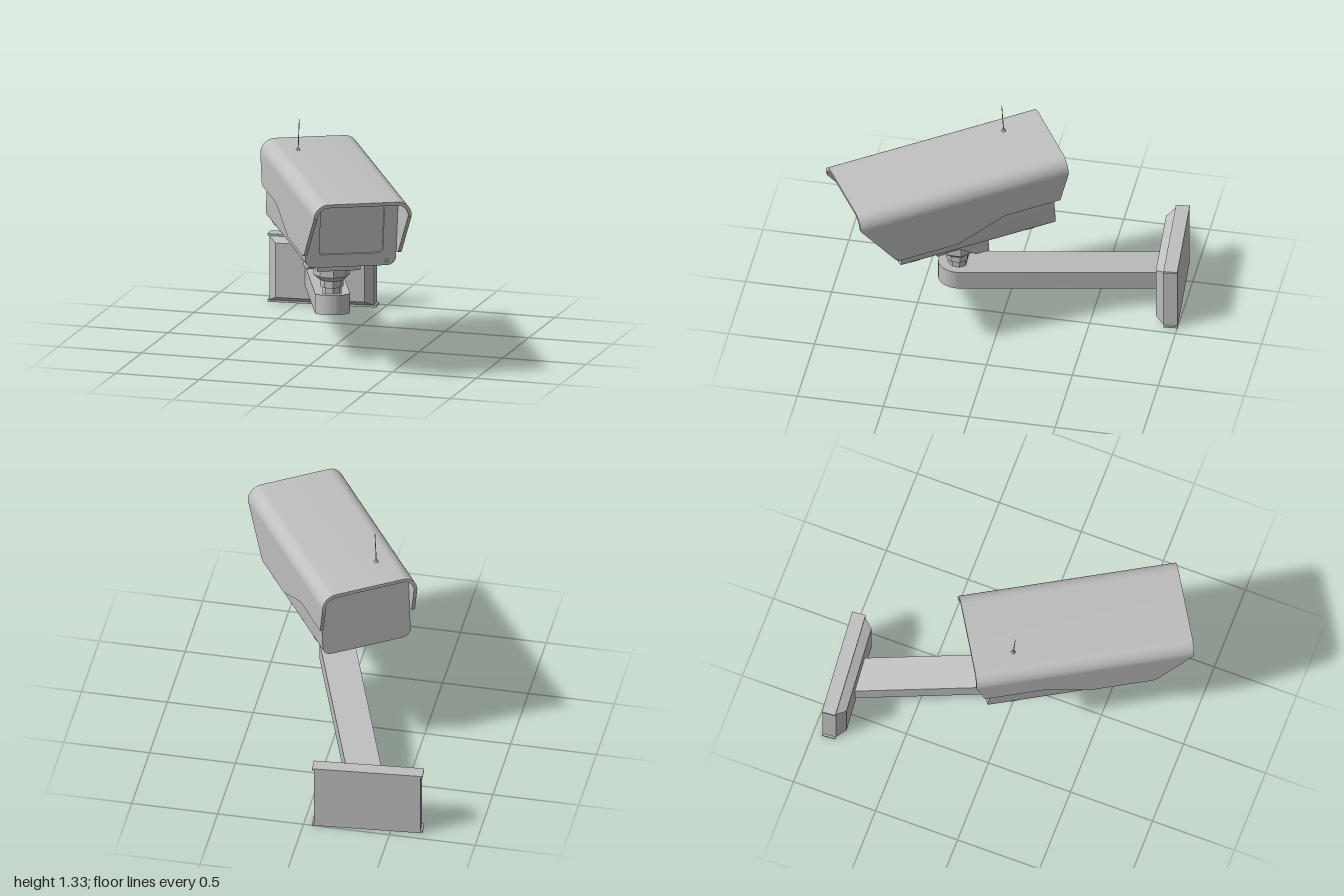
import * as THREE from 'three';
import { toCreasedNormals } from 'three/addons/utils/BufferGeometryUtils.js';

const grey = new THREE.MeshStandardMaterial({ color: 0xbfbfbf });
grey.name = 'light grey';

function add(parent, name, geometry, x = 0, y = 0, z = 0) {
  const mesh = new THREE.Mesh(geometry, grey);
  mesh.name = name;
  mesh.position.set(x, y, z);
  parent.add(mesh);
  return mesh;
}

const extrude = (shape, depth) => toCreasedNormals(
  new THREE.ExtrudeGeometry(shape, { depth, bevelEnabled: false, curveSegments: 10 }), 0.5);

// Extrudes a [z, y] side profile across x, centred on x = 0
function sideExtrude(points, width) {
  const shape = new THREE.Shape(points.map(p => new THREE.Vector2(...p)));
  return extrude(shape, width).rotateY(-Math.PI / 2).translate(width / 2, 0, 0);
}

// Rectangle with separate top and bottom corner radii
function roundedRect(path, w, y0, y1, rb, rt) {
  const P = Math.PI;
  path.moveTo(-w + rb, y0);
  path.absarc(w - rb, y0 + rb, rb, -P / 2, 0, false);
  path.absarc(w - rt, y1 - rt, rt, 0, P / 2, false);
  path.absarc(-w + rt, y1 - rt, rt, P / 2, P, false);
  path.absarc(-w + rb, y0 + rb, rb, P, 1.5 * P, false);
  return path;
}

function buildWallPlate() {
  const plate = new THREE.Group();
  plate.name = 'wallPlate';
  plate.position.set(-0.363, 0.2, -0.934);
  plate.rotation.y = 0.084;
  add(plate, 'plateBox', new THREE.BoxGeometry(0.612, 0.38, 0.08));
  for (const s of [-1, 1]) add(plate, 'plateFlange', new THREE.BoxGeometry(0.634, 0.012, 0.08), 0, s * 0.194, 0);
  // Bevelled front, tapered towards +z
  const bevel = new THREE.BoxGeometry(0.612, 0.376, 0.05);
  const p = bevel.attributes.position;
  for (let i = 0; i < p.count; i++) {
    if (p.getZ(i) > 0) p.setXY(i, Math.sign(p.getX(i)) * 0.26, Math.sign(p.getY(i)) * 0.16);
  }
  bevel.computeVertexNormals();
  add(plate, 'plateBevel', bevel, 0, 0, 0.065);
  return plate;
}

function buildArm() {
  // Round-ended bar, sheared so it climbs towards the camera
  const s = new THREE.Shape();
  s.moveTo(-0.1, 1.22);
  s.lineTo(-0.1, 0);
  s.absarc(0, 0, 0.1, Math.PI, 2 * Math.PI, false);
  s.lineTo(0.1, 1.22);
  const g = new THREE.ExtrudeGeometry(s, { depth: 0.115, bevelEnabled: false, curveSegments: 20 });
  g.rotateX(-Math.PI / 2);
  const p = g.attributes.position;
  for (let i = 0; i < p.count; i++) p.setY(i, p.getY(i) + 0.26 + 0.117 * p.getZ(i));
  const arm = new THREE.Group();
  arm.name = 'armAssembly';
  arm.position.set(0.066, 0, 0.265);
  arm.rotation.y = 0.349;
  add(arm, 'arm', toCreasedNormals(g, 0.5));
  return arm;
}

function buildSwivel() {
  // Stack of eight-sided collars: [top radius, bottom radius, bottom y, top y]
  const swivel = new THREE.Group();
  swivel.name = 'swivel';
  swivel.position.set(0.06, 0, 0.255);
  const collars = [[0.104, 0.104, 0.485, 0.58], [0.104, 0.075, 0.458, 0.485],
    [0.067, 0.067, 0.415, 0.458], [0.055, 0.055, 0.36, 0.415]];
  for (const [rt, rb, y0, y1] of collars) {
    const g = new THREE.CylinderGeometry(rt, rb, y1 - y0, 8).rotateY(Math.PI / 8).toNonIndexed();
    g.computeVertexNormals();
    add(swivel, 'collar', g, 0, (y0 + y1) / 2, 0);
  }
  return swivel;
}

function buildHead() {
  // Local origin is the middle of the hood top
  const head = new THREE.Group();
  head.name = 'cameraHead';
  head.position.set(0.105, 1.113, 0.31);
  head.rotation.set(0.07, 0.548, -0.02, 'YXZ');

  // Hood: arched roof plus two stepped side panels
  const W = 0.2875, T = 0.02, R = 0.085, P = Math.PI;
  const arch = new THREE.Shape();
  arch.moveTo(W, -R);
  arch.absarc(W - R, -R, R, 0, P / 2, false);
  arch.absarc(-W + R, -R, R, P / 2, P, false);
  arch.lineTo(-W + T, -R);
  arch.absarc(-W + R, -R, R - T, P, P / 2, true);
  arch.absarc(W - R, -R, R - T, P / 2, 0, true);
  add(head, 'hoodRoof', extrude(arch, 1.266), 0, 0, -0.633);
  const side = [[-0.633, -R], [-0.57, -0.26], [-0.235, -0.26], [0.06, -0.372],
    [0.41, -0.372], [0.437, -0.36], [0.633, -R]];
  for (const s of [-1, 1]) add(head, 'hoodSide', sideExtrude(side, T), s * (W - T / 2), 0, 0);

  // Housing with a recessed window in its front bezel
  const outline = () => roundedRect(new THREE.Shape(), 0.266, -0.452, -0.021, 0.05, 0.063);
  add(head, 'housing', extrude(outline(), 0.923), 0, 0, -0.54);
  const bezel = outline();
  bezel.holes.push(roundedRect(new THREE.Path(), 0.187, -0.376, -0.094, 0.022, 0.022));
  add(head, 'frontBezel', extrude(bezel, 0.014), 0, 0, 0.383);
  add(head, 'bezelScrew', new THREE.CylinderGeometry(0.011, 0.011, 0.01, 16).rotateX(P / 2), 0.212, -0.423, 0.4);

  // Clips on the lower rounded edges
  for (const s of [-1, 1]) {
    for (const z of [-0.385, 0.31]) {
      add(head, 'clip', new THREE.BoxGeometry(0.03, 0.012, 0.05), s * 0.247, -0.434, z).rotation.z = s * P / 4;
    }
  }

  // Antenna on the roof
  add(head, 'antennaBase', new THREE.CylinderGeometry(0.007, 0.013, 0.012, 12), -0.128, 0.005, -0.394);
  add(head, 'antenna', new THREE.CylinderGeometry(0.002, 0.003, 0.185, 8), -0.128, 0.0925, -0.394);

  // Bracket under the housing, deeper at the back
  const bracket = [[-0.174, -0.44], [-0.174, -0.62], [-0.095, -0.62], [0.0, -0.555],
    [0.08, -0.553], [0.09, -0.56], [0.14, -0.56], [0.14, -0.44]];
  add(head, 'bracket', sideExtrude(bracket, 0.254));
  return head;
}

export function createModel() {
  const model = new THREE.Group();
  model.name = 'securityCamera';
  model.add(buildWallPlate(), buildArm(), buildSwivel(), buildHead());
  return model;
}
